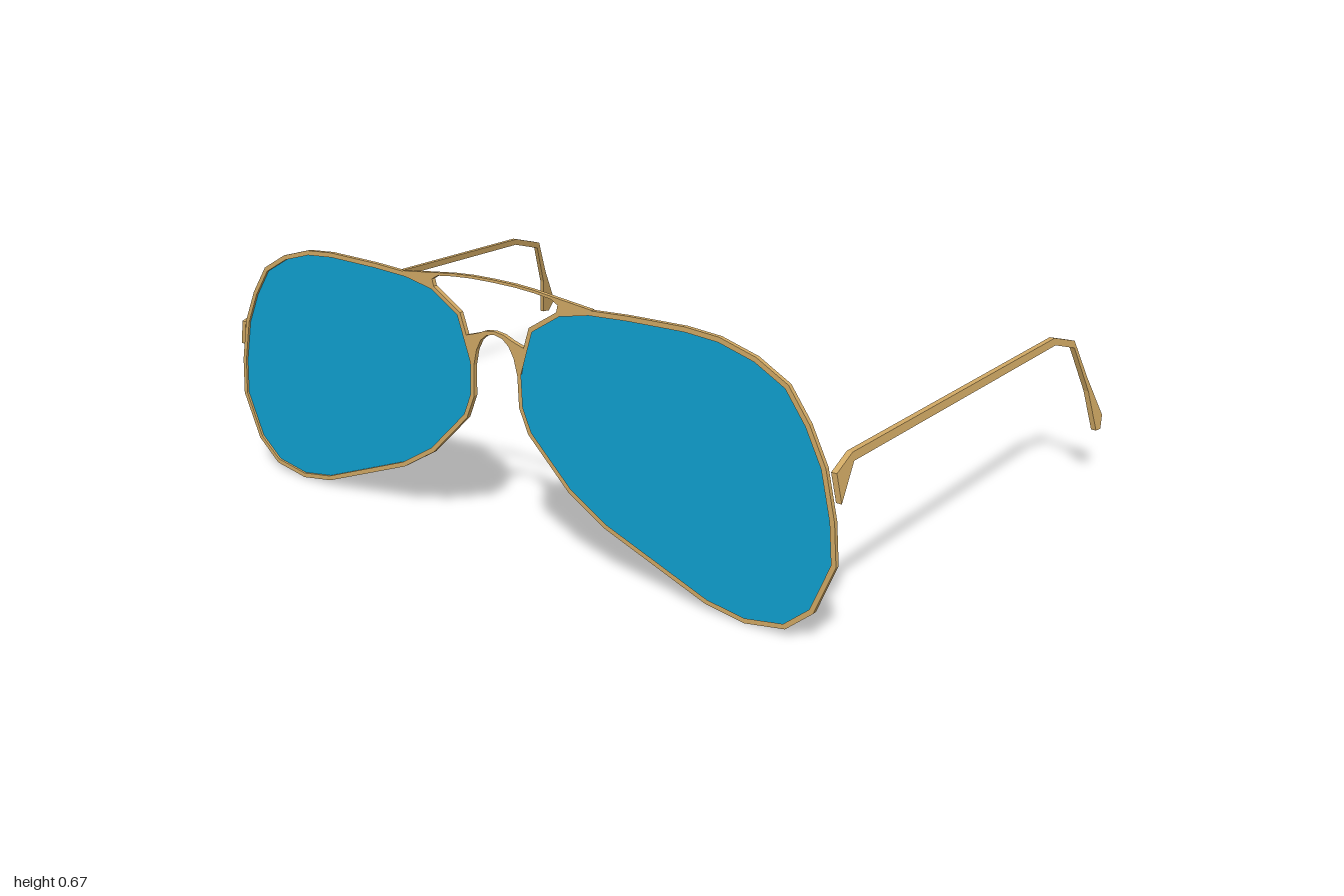
import * as THREE from 'three';

const FRONT_Z = 0.67;      // plane of the lenses
const RIM_DEPTH = 0.011;
const ARM_WIDTH = 0.014;

const metal = new THREE.MeshStandardMaterial({ color: 0xd1a964, flatShading: true });
const glass = new THREE.MeshStandardMaterial({ color: 0x0fa0d0, side: THREE.DoubleSide });

// outer edge of one rim (x, y), clockwise from the upper inner corner
const RIM = [
  [0.29, 0.648], [0.40, 0.654], [0.56, 0.657], [0.65, 0.650], [0.745, 0.623], [0.826, 0.578],
  [0.88, 0.502], [0.922, 0.415], [0.947, 0.30], [0.954, 0.20], [0.902, 0.078], [0.832, 0.02],
  [0.725, 0.002], [0.62, 0.018], [0.33, 0.126], [0.222, 0.19], [0.10, 0.308], [0.073, 0.37],
  [0.07, 0.457], [0.11, 0.575], [0.2, 0.63],
];

// arm profile seen from the side (z, y)
const ARM = [
  [0.67, 0.408], [0.60, 0.433], [-0.432, 0.433], [-0.551, 0.398], [-0.605, 0.285],
  [-0.674, 0.165], [-0.652, 0.132], [-0.623, 0.135], [-0.602, 0.248], [-0.545, 0.38],
  [-0.432, 0.414], [0.598, 0.414], [0.668, 0.342],
];

const toShape = (pts) => new THREE.Shape(pts.map(([x, y]) => new THREE.Vector2(x, y)));
const mirror = (pts) => pts.map(([x, y]) => [-x, y]);

// moves a clockwise outline inwards by d
function inset(pts, d) {
  const n = pts.length;
  return pts.map(([x, y], i) => {
    const [ax, ay] = pts[(i + n - 1) % n], [bx, by] = pts[(i + 1) % n];
    const u = new THREE.Vector2(x - ax, y - ay).normalize();
    const v = new THREE.Vector2(bx - x, by - y).normalize();
    const m = new THREE.Vector2(u.y + v.y, -u.x - v.x).normalize();
    const k = d / Math.max(0.5, m.x * u.y - m.y * u.x);
    return [x + m.x * k, y + m.y * k];
  });
}

function plate(shape, depth) {
  const g = new THREE.ExtrudeGeometry(shape, { depth, bevelEnabled: false });
  return g.translate(0, 0, -depth / 2);
}

function add(group, name, geometry, material, z = 0) {
  const mesh = new THREE.Mesh(geometry, material);
  mesh.name = name;
  mesh.position.z = z;
  group.add(mesh);
}

// flat bar across the nose from the right halves of its upper and lower edges
function bar(upper, lower) {
  const full = (half) => [...mirror(half).reverse(), ...half.slice(1)];
  return plate(toShape([...full(upper), ...full(lower).reverse()]), RIM_DEPTH);
}

// arm slab, leaning outwards as it goes down
function arm(side) {
  const g = plate(toShape(ARM), ARM_WIDTH).rotateY(-Math.PI / 2);
  const p = g.attributes.position;
  for (let i = 0; i < p.count; i++) {
    p.setX(i, p.getX(i) + side * (0.936 + (0.42 - p.getY(i)) * 0.197));
  }
  g.computeVertexNormals();
  return g;
}

export function createModel() {
  const group = new THREE.Group();
  group.name = 'sunglasses';

  for (const [side, label] of [[1, 'left'], [-1, 'right']]) {
    const place = side > 0 ? (pts) => pts : mirror;

    // rim with the lens set into it
    const rim = toShape(place(RIM));
    rim.holes.push(new THREE.Path(toShape(place(inset(RIM, 0.012))).getPoints()));
    add(group, label + 'Rim', plate(rim, RIM_DEPTH), metal, FRONT_Z);
    add(group, label + 'Lens', new THREE.ShapeGeometry(toShape(place(inset(RIM, 0.006)))), glass, FRONT_Z);

    add(group, label + 'Arm', arm(side), metal);
  }

  // thin brow bar, flaring where it joins the rims
  add(group, 'browBar', bar(
    [[0, 0.674], [0.07, 0.673], [0.13, 0.669], [0.2, 0.661], [0.30, 0.65]],
    [[0, 0.667], [0.07, 0.666], [0.13, 0.662], [0.18, 0.656], [0.2, 0.645], [0.195, 0.626], [0.29, 0.642]],
  ), metal, FRONT_Z);

  // arched nose bridge
  add(group, 'noseBridge', bar(
    [[0, 0.547], [0.03, 0.543], [0.055, 0.533], [0.095, 0.521]],
    [[0, 0.538], [0.025, 0.533], [0.045, 0.517], [0.06, 0.49], [0.07, 0.45], [0.08, 0.455]],
  ), metal, FRONT_Z);

  return group;
}
